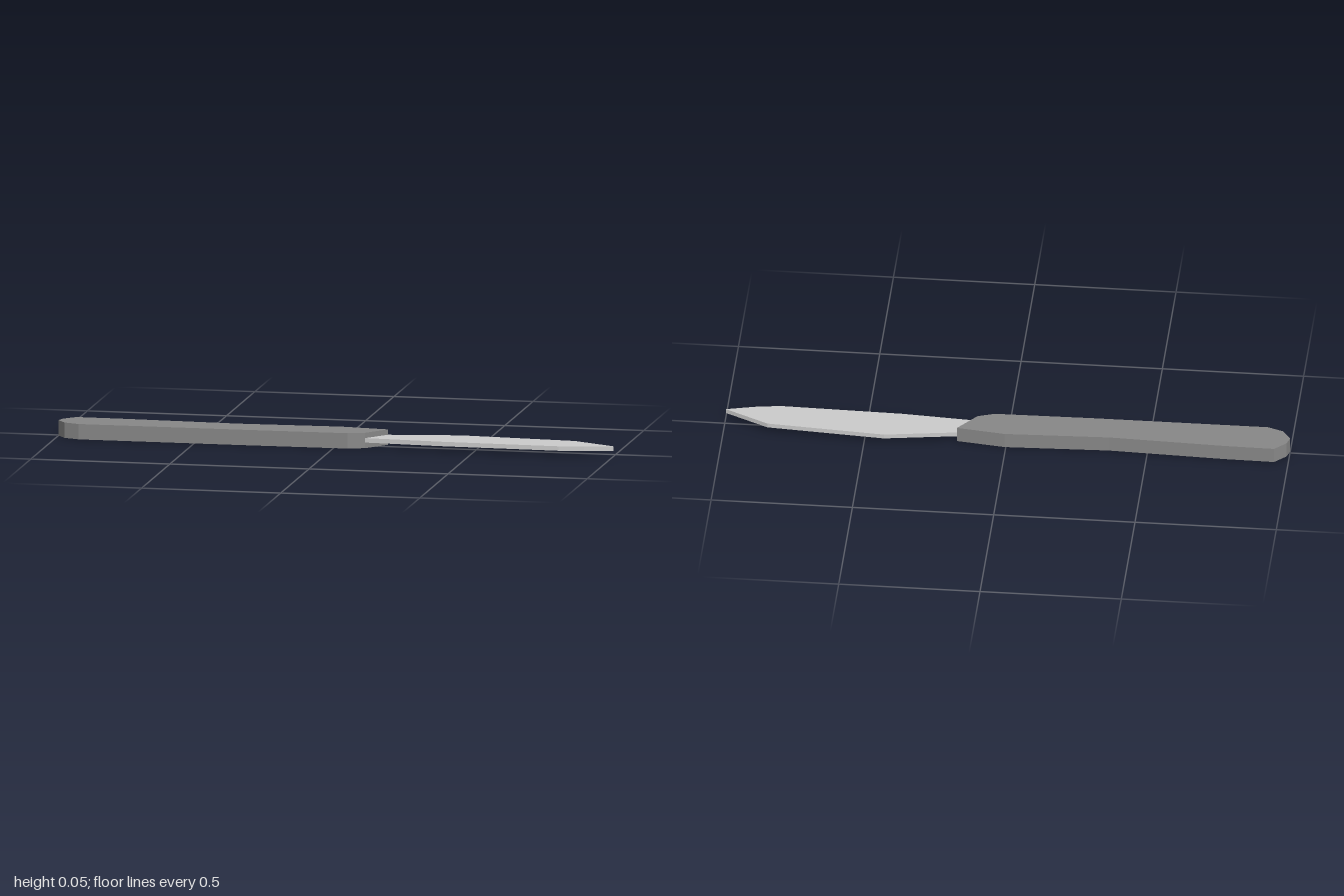
import * as THREE from 'three';

// Flat plate: an outline of [x, z] points raised from y = bottom to y = top
function plate(name, outline, bottom, top, color) {
  const shape = new THREE.Shape(outline.map(([x, z]) => new THREE.Vector2(x, -z)));
  const geometry = new THREE.ExtrudeGeometry(shape, { depth: top - bottom, bevelEnabled: false });
  geometry.rotateX(-Math.PI / 2).translate(0, bottom, 0);
  const mesh = new THREE.Mesh(geometry, new THREE.MeshStandardMaterial({ color, flatShading: true }));
  mesh.name = name;
  return mesh;
}

export function createModel() {
  const model = new THREE.Group();
  model.name = 'knife';

  // Handle: rounded butt, slightly waisted back, slanted front end
  model.add(plate('handle', [
    [-1, 0.01], [-0.97, 0.053], [-0.915, 0.074], [-0.31, 0.073],
    [0.05, 0.068], [0.11, 0.047], [0.175, -0.036], [0.005, -0.059],
    [-0.365, -0.046], [-0.78, -0.062], [-0.95, -0.064], [-0.99, -0.024],
  ], 0, 0.055, 0x888888));

  // Blade: thin plate whose root sits inside the handle
  model.add(plate('blade', [
    [0.06, 0.042], [0.11, 0.047], [0.38, 0.066], [0.81, 0.075], [0.9, 0.061],
    [1, 0.036], [0.845, -0.043], [0.43, -0.075], [0.175, -0.036], [0.12, -0.026],
  ], 0.02, 0.036, 0xcccccc));

  return model;
}
